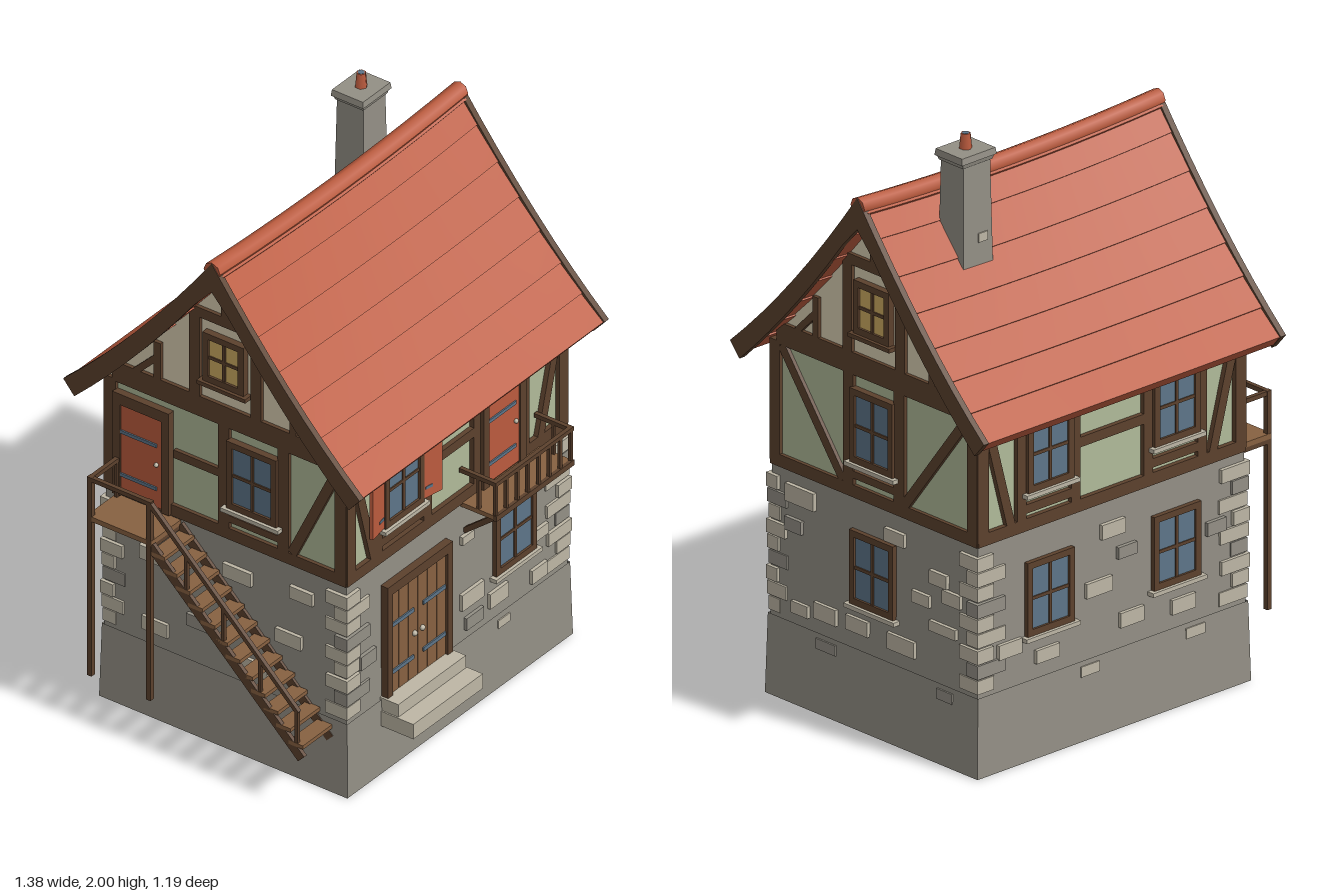
import * as THREE from 'three';

const mat = (name, color, side = THREE.FrontSide) => {
  const m = new THREE.MeshStandardMaterial({ color, side });
  m.name = name;
  return m;
};
const STONE = mat('grey stone', 0x938f85, THREE.DoubleSide);
const PALE = mat('pale stone', 0xbdb6a5);
const TIMBER = mat('dark timber', 0x5c412d);
const WOOD = mat('oak planks', 0x876141);
const GREEN = mat('green plaster', 0xb0ba99);
const CREAM = mat('cream plaster', 0xdbd0b4);
const TILE = mat('red tile', 0xbb5b3e);
const BLUE = mat('blue glass', 0x5d7589);
const AMBER = mat('amber glass', 0xcfac62);

const CX = 0.044, CZ = -0.013, HX = 0.57, HZ = 0.47;

function add(parent, name, geo, m, x = 0, y = 0, z = 0) {
  const mesh = new THREE.Mesh(geo, m);
  mesh.name = name;
  mesh.position.set(x, y, z);
  parent.add(mesh);
  return mesh;
}
const box = (p, name, m, w, h, d, x, y, z = 0) => add(p, name, new THREE.BoxGeometry(w, h, d), m, x, y, z);
function group(parent, name) {
  const g = new THREE.Group();
  g.name = name;
  parent.add(g);
  return g;
}
// Square bar between two points
function strut(p, name, m, a, b, w, h = w) {
  const A = new THREE.Vector3(...a), B = new THREE.Vector3(...b);
  const s = add(p, name, new THREE.BoxGeometry(w, h, A.distanceTo(B)), m, ...A.clone().add(B).multiplyScalar(0.5));
  s.quaternion.setFromUnitVectors(new THREE.Vector3(0, 0, 1), B.sub(A).normalize());
  return s;
}
// Timber lying flat on a wall
function beam(p, x1, y1, x2, y2, w) {
  const b = box(p, 'timber', TIMBER, Math.hypot(x2 - x1, y2 - y1), w, 0.03, (x1 + x2) / 2, (y1 + y2) / 2, -0.01);
  b.rotation.z = Math.atan2(y2 - y1, x2 - x1);
}
// Four-sided tapering shell
function taper(w, d, h, ratio, open) {
  const r = Math.SQRT1_2;
  const g = new THREE.CylinderGeometry(r * ratio, r, h, 4, 1, open).rotateY(Math.PI / 4).scale(w, 1, d).toNonIndexed();
  g.computeVertexNormals();
  return g;
}
function windowUnit(p, x, y, w, h, glass, sill = PALE) {
  const g = group(p, 'window'), t = 0.022;
  g.position.set(x, y, 0);
  box(g, 'pane', glass, w - t, h - t, 0.016, 0, 0, 0);
  for (const s of [-1, 1]) {
    box(g, 'frame side', TIMBER, t, h, 0.032, s * (w - t) / 2, 0, 0);
    box(g, 'frame rail', TIMBER, w, t, 0.032, 0, s * (h - t) / 2, 0);
  }
  box(g, 'mullion', TIMBER, 0.011, h - t, 0.024, 0, 0, 0);
  box(g, 'crossbar', TIMBER, w - t, 0.011, 0.024, 0, 0, 0);
  box(g, 'window sill', sill, w + 0.03, 0.014, 0.054, 0, -h / 2 - 0.007, 0);
}
function redDoor(p, x) {
  const g = group(p, 'upper door');
  g.position.set(x, 0, 0);
  box(g, 'door leaf', TILE, 0.165, 0.33, 0.02, 0, 0.955, 0.002);
  for (const s of [-1, 1]) box(g, 'door post', TIMBER, 0.03, 0.38, 0.035, s * 0.095, 0.97, 0);
  box(g, 'lintel', TIMBER, 0.22, 0.04, 0.035, 0, 1.14, 0);
  for (const y of [0.86, 1.02]) box(g, 'hinge', BLUE, 0.14, 0.012, 0.006, -0.01, y, 0.014);
  add(g, 'knob', new THREE.SphereGeometry(0.008, 8, 6), PALE, 0.06, 0.95, 0.016);
}
const stones = (p, list) => list.forEach(([x, y, w = 0.09, h = 0.055], i) =>
  box(p, 'wall stone', i % 4 === 3 ? STONE : PALE, w, h, 0.026, x, y, 0));

// Roof height at distance d from the ridge
const roofY = d => 1.82 - 1.38 * d + 0.42 * d * d;
const sag = (x, d) => 0.022 * (1 - (x / 0.64) ** 2) * Math.max(0, 1 - d / 0.6);
function sagged(geo) {
  const p = geo.attributes.position;
  for (let i = 0; i < p.count; i++) p.setY(i, p.getY(i) - sag(p.getX(i), Math.abs(p.getZ(i))));
  geo.computeVertexNormals();
  return geo;
}

function buildRoof(house) {
  const roof = group(house, 'roof'), n = 7, step = 0.573 / n, t = 0.046;
  for (const side of [0, Math.PI]) for (let i = 0; i < n; i++) {
    const d0 = i * step - (i ? 0.012 : 0), d1 = (i + 1) * step, y0 = roofY(d0), y1 = roofY(d1) + 0.009;
    const a = Math.atan2(y0 - y1, d1 - d0);
    const g = new THREE.BoxGeometry(1.26, t, Math.hypot(d1 - d0, y0 - y1), 10, 1, 1).rotateX(a)
      .translate(0, (y0 + y1) / 2 - t / 2 * Math.cos(a), (d0 + d1) / 2 - t / 2 * Math.sin(a));
    add(roof, 'tile course', sagged(g), TILE).rotation.y = side;
  }
  add(roof, 'ridge cap', sagged(new THREE.CylinderGeometry(0.032, 0.032, 1.285, 8, 10).rotateZ(Math.PI / 2).translate(0, 1.805, 0)), TILE);
  // Barge boards follow the roof curve at each gable
  const top = [], under = [];
  for (let i = -8; i <= 8; i++) {
    const d = Math.abs(i) / 8, s = Math.sign(i);
    top.push(new THREE.Vector2(s * d * 0.578, roofY(d * 0.578) + 0.016));
    under.unshift(new THREE.Vector2(s * d * 0.535, roofY(d * 0.535) - (i ? 0.073 : 0.09)));
  }
  const board = new THREE.ExtrudeGeometry(new THREE.Shape([...top, ...under]), { depth: 0.022, bevelEnabled: false });
  board.rotateY(Math.PI / 2);
  for (const x of [-0.645, 0.623]) add(roof, 'barge board', board, TIMBER, x);
  // Plastered gable walls
  const line = [];
  for (let i = -8; i <= 8; i++) line.push(new THREE.Vector2(i / 8 * 0.455, roofY(Math.abs(i) / 8 * 0.455) - 0.035));
  line.push(new THREE.Vector2(0.455, 1.19), new THREE.Vector2(-0.455, 1.19));
  const gable = new THREE.ExtrudeGeometry(new THREE.Shape(line), { depth: 1.124, bevelEnabled: false });
  add(house, 'gable plaster', gable.rotateY(Math.PI / 2), CREAM, -0.562);
  // Chimney
  const ch = group(house, 'chimney');
  ch.position.set(0.303, 0, -0.13);
  add(ch, 'stack', taper(0.13, 0.118, 0.47, 0.87), STONE, 0, 1.69);
  add(ch, 'chimney collar', taper(0.125, 0.11, 0.02, 1.1), STONE, 0, 1.92);
  add(ch, 'chimney cap', taper(0.148, 0.126, 0.022, 0.96), STONE, 0, 1.937);
  add(ch, 'pot', new THREE.CylinderGeometry(0.016, 0.021, 0.055, 6), TILE, 0, 1.9715);
  add(ch, 'flue', new THREE.CylinderGeometry(0.012, 0.012, 0.004, 6), BLUE, 0, 1.998);
  box(ch, 'chimney stone', PALE, 0.03, 0.03, 0.04, 0.044, 1.72, -0.01);
  box(ch, 'chimney stone', PALE, 0.04, 0.03, 0.03, -0.02, 1.66, -0.045);
}

function buildFaces(house) {
  const [front, right, back, left] = ['front', 'right', 'back', 'left'].map((n, i) => {
    const g = group(house, n + ' wall details');
    g.rotation.y = i * Math.PI / 2;
    g.position.set([0, HX, 0, -HX][i], 0, [HZ, 0, -HZ, 0][i]);
    const half = i % 2 ? HZ : HX;
    beam(g, -half, 0.797, half, 0.797, 0.042);
    for (const s of [-1, 1]) beam(g, s * (half - 0.02), 0.79, s * (half - 0.02), 1.2, 0.045);
    return g;
  });
  // Long walls: braces, studs and centre rail
  for (const f of [front, back]) {
    for (const s of [-1, 1]) beam(f, s * 0.53, 1.18, s * 0.43, 0.81, 0.034);
    beam(f, -HX, 1.18, HX, 1.18, 0.04);
  }
  for (const x of [-0.41, -0.155, 0.105, 0.35]) beam(front, x, 0.8, x, 1.18, 0.042);
  beam(front, -0.14, 1.01, 0.1, 1.01, 0.034);
  beam(front, -0.39, 0.85, -0.17, 0.85, 0.03);
  for (const s of [-1, 1]) {
    for (const x of [0.155, 0.385]) beam(back, s * x, 0.8, s * x, 1.18, 0.038);
    beam(back, s * 0.16, 0.85, s * 0.38, 0.85, 0.03);
    windowUnit(back, s * 0.27, 1.03, 0.195, 0.25, BLUE);
    windowUnit(back, s * 0.27, 0.545, 0.2, 0.25, BLUE);
  }
  beam(back, -0.14, 1.01, 0.14, 1.01, 0.034);
  // Gable walls
  for (const f of [right, left]) {
    beam(f, -0.44, 1.228, 0.44, 1.228, 0.075);
    beam(f, -0.13, 1.578, 0.13, 1.578, 0.036);
    beam(f, 0, 1.58, 0, 1.74, 0.03);
    for (const s of [-1, 1]) {
      beam(f, s * 0.12, 1.26, s * 0.12, 1.58, 0.042);
      beam(f, s * 0.265, 1.26, s * 0.265, 1.4, 0.026);
      beam(f, s * 0.27, 1.34, s * 0.35, 1.26, 0.022);
    }
    windowUnit(f, 0, 1.43, 0.16, 0.18, AMBER, TIMBER);
  }
  for (const s of [-1, 1]) {
    beam(right, s * 0.116, 0.8, s * 0.116, 1.2, 0.046);
    beam(right, s * 0.42, 1.19, s * 0.14, 0.82, 0.034);
    beam(left, 0.11 + s * 0.116, 0.8, 0.11 + s * 0.116, 1.2, 0.042);
  }
  beam(right, -0.11, 0.853, 0.11, 0.853, 0.025);
  beam(left, 0, 0.853, 0.22, 0.853, 0.025);
  beam(left, 0.43, 1.18, 0.26, 0.82, 0.034);
  beam(left, -0.2, 1.01, -0.02, 1.01, 0.03);
  windowUnit(right, 0, 1.025, 0.195, 0.25, BLUE);
  windowUnit(left, 0.11, 1.025, 0.195, 0.25, BLUE);
  windowUnit(right, 0, 0.545, 0.2, 0.25, BLUE);
  windowUnit(front, 0.291, 0.545, 0.21, 0.25, BLUE);
  windowUnit(front, -0.287, 1.03, 0.2, 0.26, BLUE);
  redDoor(front, 0.228);
  redDoor(left, -0.32);
  for (const s of [-1, 1]) {
    const sh = group(front, 'shutter');
    sh.position.set(-0.287 + s * 0.143, 1.025, 0.014);
    sh.rotation.y = -s * 0.16;
    box(sh, 'shutter panel', TILE, 0.078, 0.235, 0.012, 0, 0, 0);
    for (const y of [-0.08, 0.08]) box(sh, 'shutter hinge', BLUE, 0.03, 0.01, 0.016, -s * 0.02, y, 0);
  }
  // Double entrance door
  const door = group(front, 'entrance door');
  door.position.set(-0.223, 0, 0);
  for (let i = 0; i < 6; i++) box(door, 'plank', WOOD, 0.047, 0.38, 0.03, (i - 2.5) * 0.049, 0.465, 0.002);
  box(door, 'door backing', TIMBER, 0.3, 0.38, 0.022, 0, 0.465, 0);
  for (const s of [-1, 1]) {
    box(door, 'door post', TIMBER, 0.026, 0.41, 0.045, s * 0.155, 0.48, 0.005);
    for (const y of [0.355, 0.53]) box(door, 'strap hinge', BLUE, 0.115, 0.014, 0.008, s * 0.082, y, 0.018);
    add(door, 'knob', new THREE.SphereGeometry(0.01, 8, 6), PALE, s * 0.02, 0.44, 0.02);
  }
  box(door, 'lintel', TIMBER, 0.336, 0.035, 0.045, 0, 0.67, 0.005);
  // Scattered wall stones
  stones(front, [[0.071, 0.41, 0.115, 0.06], [0.206, 0.34, 0.095, 0.055], [0.416, 0.315, 0.08, 0.05], [-0.47, 0.46, 0.08, 0.05],
    [0.046, 0.64, 0.06, 0.03], [0.426, 0.46, 0.07, 0.04], [0.231, 0.233, 0.06, 0.03], [0.081, 0.32, 0.09, 0.045]]);
  stones(right, [[-0.33, 0.705, 0.13, 0.06], [-0.215, 0.345, 0.1, 0.055], [-0.07, 0.35, 0.1, 0.05], [-0.21, 0.235, 0.09, 0.035],
    [0.13, 0.345, 0.125, 0.055], [0.32, 0.455, 0.12, 0.035], [0.1, 0.7, 0.09, 0.045], [-0.36, 0.6, 0.075, 0.045],
    [0.3, 0.62, 0.08, 0.045], [0.22, 0.53, 0.08, 0.04], [0.36, 0.57, 0.08, 0.045], [0.33, 0.235, 0.07, 0.035], [-0.33, 0.325, 0.075, 0.04]]);
  stones(back, [[0, 0.68, 0.1, 0.05], [-0.06, 0.5, 0.11, 0.05], [0.08, 0.36, 0.1, 0.05], [0.44, 0.56, 0.08, 0.045],
    [-0.44, 0.4, 0.1, 0.05], [-0.28, 0.34, 0.1, 0.045], [0.3, 0.34, 0.1, 0.05], [0.06, 0.59, 0.08, 0.04], [-0.1, 0.235, 0.08, 0.035], [0.35, 0.235, 0.08, 0.035]]);
  stones(left, [[-0.28, 0.6, 0.1, 0.05], [0.05, 0.66, 0.11, 0.05], [0.25, 0.5, 0.1, 0.05], [-0.1, 0.42, 0.09, 0.045],
    [0.12, 0.34, 0.1, 0.05], [-0.27, 0.34, 0.1, 0.05], [0.3, 0.68, 0.09, 0.045]]);
}

function buildStairs(root) {
  const st = group(root, 'outside stair'), xo = -0.678, xi = -0.53, n = 12;
  box(st, 'landing', WOOD, 0.155, 0.018, 0.25, -0.608, 0.766, -0.31);
  for (let i = 0; i < n; i++) box(st, 'tread', WOOD, 0.154, 0.014, 0.056, -0.608, 0.73 - i * 0.0445, -0.16 + i * 0.049);
  for (const x of [xo, xi]) strut(st, 'stringer', TIMBER, [x, 0.755, -0.19], [x, 0.195, 0.4], 0.014, 0.035);
  for (const z of [-0.425, -0.195]) {
    strut(st, 'landing post', TIMBER, [xo, 0.18, z], [xo, 0.92, z], 0.018);
    strut(st, 'landing joist', TIMBER, [xo, 0.75, z], [xi, 0.75, z], 0.018);
  }
  strut(st, 'landing rail', TIMBER, [xo, 0.912, -0.43], [xo, 0.912, -0.19], 0.015);
  strut(st, 'landing rail', TIMBER, [xo, 0.912, -0.425], [-0.53, 0.912, -0.425], 0.015);
  strut(st, 'landing rail post', TIMBER, [-0.545, 0.77, -0.425], [-0.545, 0.912, -0.425], 0.012);
  strut(st, 'stair rail', TIMBER, [xo, 0.912, -0.195], [xo, 0.36, 0.385], 0.015);
  for (let i = 1; i <= 4; i++) {
    const f = i / 4, z = -0.195 + 0.575 * f, y = 0.912 - 0.547 * f;
    strut(st, 'baluster', TIMBER, [xo, y - 0.17, z], [xo, y, z], 0.012);
  }
}

function buildBalcony(root) {
  const b = group(root, 'balcony'), z = 0.587;
  box(b, 'balcony floor', WOOD, 0.4, 0.016, 0.14, 0.267, 0.772, 0.523);
  box(b, 'floor edge', TIMBER, 0.404, 0.02, 0.012, 0.267, 0.772, 0.59);
  strut(b, 'handrail', TIMBER, [0.065, 0.898, z], [0.469, 0.898, z], 0.015);
  for (let i = 0; i < 8; i++) strut(b, 'baluster', TIMBER, [0.073 + i * 0.0555, 0.775, z], [0.073 + i * 0.0555, 0.898, z], 0.011);
  for (const x of [0.073, 0.461]) {
    strut(b, 'side rail', TIMBER, [x, 0.898, 0.45], [x, 0.898, z], 0.015);
    strut(b, 'side baluster', TIMBER, [x, 0.775, 0.522], [x, 0.898, 0.522], 0.011);
  }
  for (const x of [0.09, 0.444]) strut(b, 'bracket', TIMBER, [x, 0.665, 0.455], [x, 0.765, 0.58], 0.018);
}

export function createModel() {
  const root = new THREE.Group();
  root.name = 'timberHouse';
  const house = group(root, 'house');
  house.position.set(CX, 0, CZ);
  // Hollow plinth, stone ground floor, plastered upper floor
  add(house, 'plinth', taper(1.168, 0.968, 0.27, 0.988, true), STONE, 0, 0.135);
  add(house, 'stone walls', taper(1.144, 0.943, 0.52, 0.994), STONE, 0, 0.52);
  box(house, 'upper walls', GREEN, 1.124, 0.42, 0.916, 0, 0.99);
  // Corner stones alternate long and short
  for (const sx of [-1, 1]) for (const sz of [-1, 1]) for (let i = 0; i < 9; i++) {
    const long = (i + (sx * sz > 0 ? 1 : 0)) % 2, lx = long ? 0.12 : 0.07, lz = long ? 0.05 : 0.085;
    const out = 0.006 + (i * 7 % 3) * 0.003;
    box(house, 'corner stone', (i + sx + sz) % 4 === 1 ? STONE : PALE, lx, 0.046, lz,
      sx * (HX + out - lx / 2), 0.305 + i * 0.052, sz * (HZ + out - lz / 2));
  }
  buildFaces(house);
  buildRoof(house);
  buildStairs(root);
  buildBalcony(root);
  // Entrance steps
  box(root, 'lower step', PALE, 0.36, 0.055, 0.165, -0.18, 0.202, 0.51);
  box(root, 'upper step', PALE, 0.35, 0.048, 0.105, -0.18, 0.252, 0.478);
  return root;
}
